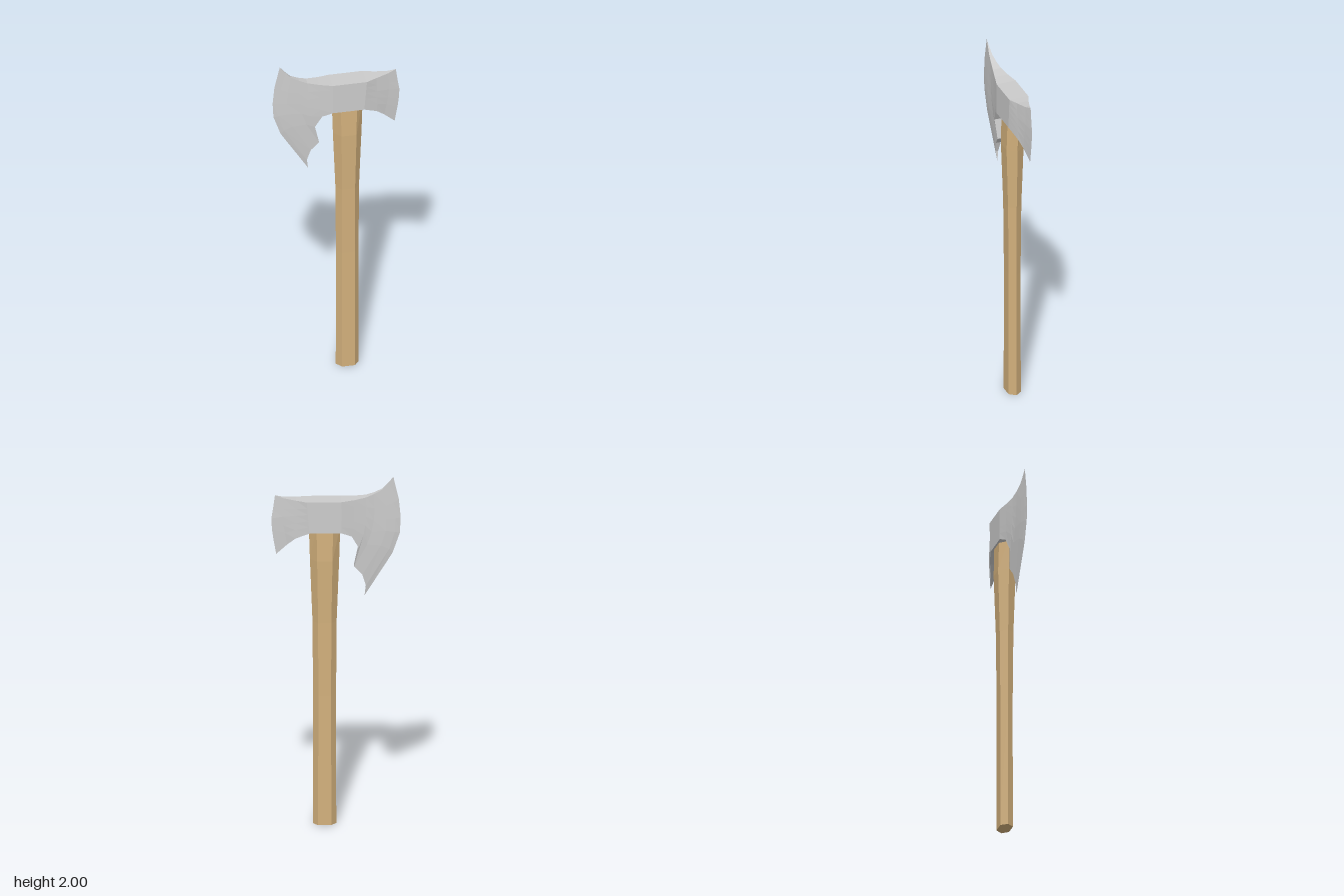
import * as THREE from 'three';

// Skin a series of equal-length rings; rings run counter-clockwise seen against the loft direction
function loft(rings, capped) {
  const pos = [];
  const tri = (a, b, c) => pos.push(...a, ...b, ...c);
  const n = rings[0].length;
  for (let i = 0; i < rings.length - 1; i++) {
    for (let j = 0; j < n; j++) {
      const k = (j + 1) % n;
      const [a, b, c, d] = [rings[i][j], rings[i][k], rings[i + 1][k], rings[i + 1][j]];
      tri(a, b, c);
      tri(a, c, d);
    }
  }
  if (capped) {
    const first = rings[0], last = rings[rings.length - 1];
    for (let j = 1; j < n - 1; j++) {
      tri(first[0], first[j + 1], first[j]);
      tri(last[0], last[j], last[j + 1]);
    }
  }
  const geo = new THREE.BufferGeometry();
  geo.setAttribute('position', new THREE.Float32BufferAttribute(pos, 3));
  geo.computeVertexNormals();
  return geo;
}

// Cutting edges, top to bottom
const shortEdge = [[0.332, 1.9], [0.343, 1.82], [0.352, 1.765], [0.348, 1.7], [0.341, 1.65], [0.325, 1.56]];
const longEdge = [[-0.315, 2], [-0.345, 1.87], [-0.355, 1.765], [-0.35, 1.675], [-0.31, 1.56], [-0.157, 1.315]];

// Cross-section between a top and bottom point, bowed towards the cutting edge
function section(edge, top, bottom, zTop, zBottom, bow) {
  const front = [], back = [];
  const last = edge.length - 1;
  const mix = THREE.MathUtils.lerp;
  edge.forEach((e, i) => {
    const t = i / last;
    const p = [0, 1].map(a =>
      mix(top[a], bottom[a], t) + bow * (e[a] - mix(edge[0][a], edge[last][a], t)));
    const z = mix(zTop, zBottom, t);
    front.unshift([p[0], p[1], z]);
    back.push([p[0], p[1], -z]);
  });
  return [...front, ...back];
}

function createHead() {
  const rings = [
    // short blade
    section(shortEdge, shortEdge[0], shortEdge[5], 0, 0, 1),
    section(shortEdge, [0.285, 1.886], [0.265, 1.62], 0.013, 0.016, 0.6),
    section(shortEdge, [0.215, 1.878], [0.22, 1.66], 0.034, 0.034, 0.2),
    // central block
    section(shortEdge, [0.16, 1.875], [0.145, 1.695], 0.056, 0.056, 0),
    section(longEdge, [-0.03, 1.875], [-0.03, 1.695], 0.056, 0.056, 0),
    // long bearded blade
    section(longEdge, [-0.1, 1.88], [-0.087, 1.67], 0.039, 0.041, 0.04),
    section(longEdge, [-0.165, 1.89], [-0.125, 1.6], 0.024, 0.03, 0.15),
    section(longEdge, [-0.21, 1.907], [-0.1, 1.49], 0.016, 0.022, 0.4),
    section(longEdge, [-0.255, 1.93], [-0.145, 1.44], 0.009, 0.015, 0.65),
    section(longEdge, [-0.285, 1.963], [-0.165, 1.375], 0.004, 0.007, 0.85),
    section(longEdge, longEdge[0], longEdge[5], 0, 0, 1),
  ];
  const mesh = new THREE.Mesh(loft(rings, false),
    new THREE.MeshStandardMaterial({ color: 0xcccccc, flatShading: true }));
  mesh.name = 'axeHead';
  return mesh;
}

function createHandle() {
  // height, half width, half width of flat face, half depth
  const levels = [
    [0, 0.064, 0.036, 0.036],
    [0.75, 0.063, 0.035, 0.035],
    [1.17, 0.066, 0.036, 0.039],
    [1.53, 0.08, 0.042, 0.05],
    [1.72, 0.086, 0.045, 0.045],
  ];
  const cx = 0.061;
  const rings = levels.map(([y, w, f, d]) => [
    [cx + w, y, 0], [cx + f, y, -d], [cx - f, y, -d],
    [cx - w, y, 0], [cx - f, y, d], [cx + f, y, d],
  ]);
  const mesh = new THREE.Mesh(loft(rings, true),
    new THREE.MeshStandardMaterial({ color: 0xd2b07c, flatShading: true }));
  mesh.name = 'handle';
  return mesh;
}

export function createModel() {
  const group = new THREE.Group();
  group.name = 'battleAxe';
  group.add(createHead(), createHandle());
  return group;
}
